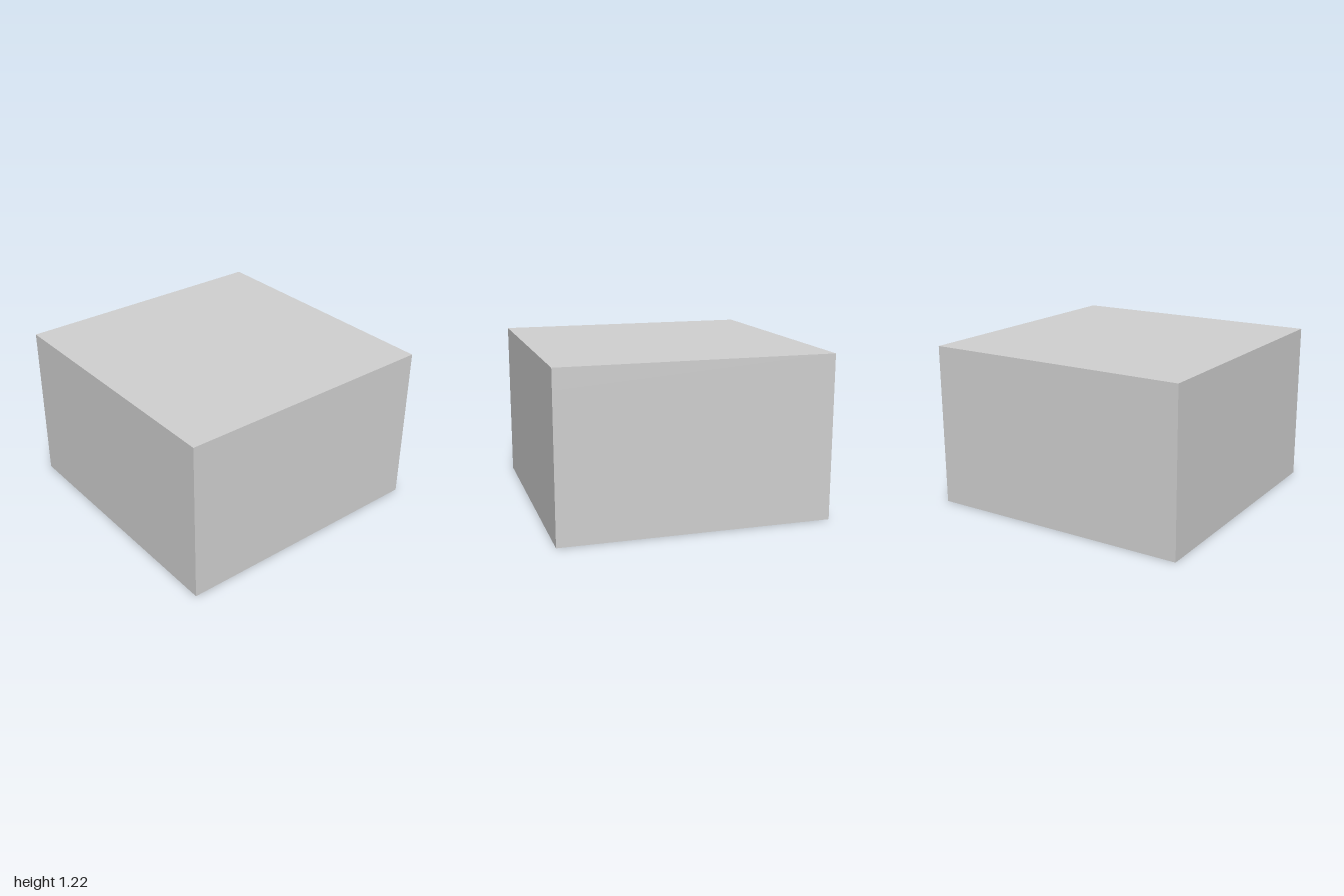
import * as THREE from 'three';

const HEIGHT = 1.215, WALL = 0.15, ROOF = 0.15;

// Corner points of a regular polygon, first corner at angle start
function polygon(sides, radius, start = 0) {
  return Array.from({ length: sides }, (_, i) => {
    const a = start + (i / sides) * Math.PI * 2;
    return new THREE.Vector2(Math.cos(a) * radius, Math.sin(a) * radius);
  });
}

// Upright hollow prism standing on y = 0
function hollowPrism(outer, inner, height) {
  const shape = new THREE.Shape(outer);
  shape.holes.push(new THREE.Path(inner));
  const geometry = new THREE.ExtrudeGeometry(shape, { depth: height, bevelEnabled: false });
  return geometry.rotateX(-Math.PI / 2);
}

export function createModel() {
  const group = new THREE.Group();
  group.name = 'hollowBlock';
  const grey = new THREE.MeshStandardMaterial({ color: 0xd0d0d0 });
  grey.name = 'lightGrey';

  const add = (name, geometry, y = 0) => {
    const mesh = new THREE.Mesh(geometry, grey);
    mesh.name = name;
    mesh.position.y = y;
    group.add(mesh);
  };

  // Four side walls, open at the bottom
  const square = (half) => polygon(4, half * Math.SQRT2, Math.PI / 4);
  add('sideWalls', hollowPrism(square(1), square(1 - WALL), HEIGHT - ROOF));

  // Flat roof closing the block
  add('roof', new THREE.BoxGeometry(2, ROOF, 2), HEIGHT - ROOF / 2);

  // Ten-sided tube hanging from the roof
  add('innerTube', hollowPrism(polygon(10, 0.412), polygon(10, 0.304), HEIGHT - ROOF));

  return group;
}
